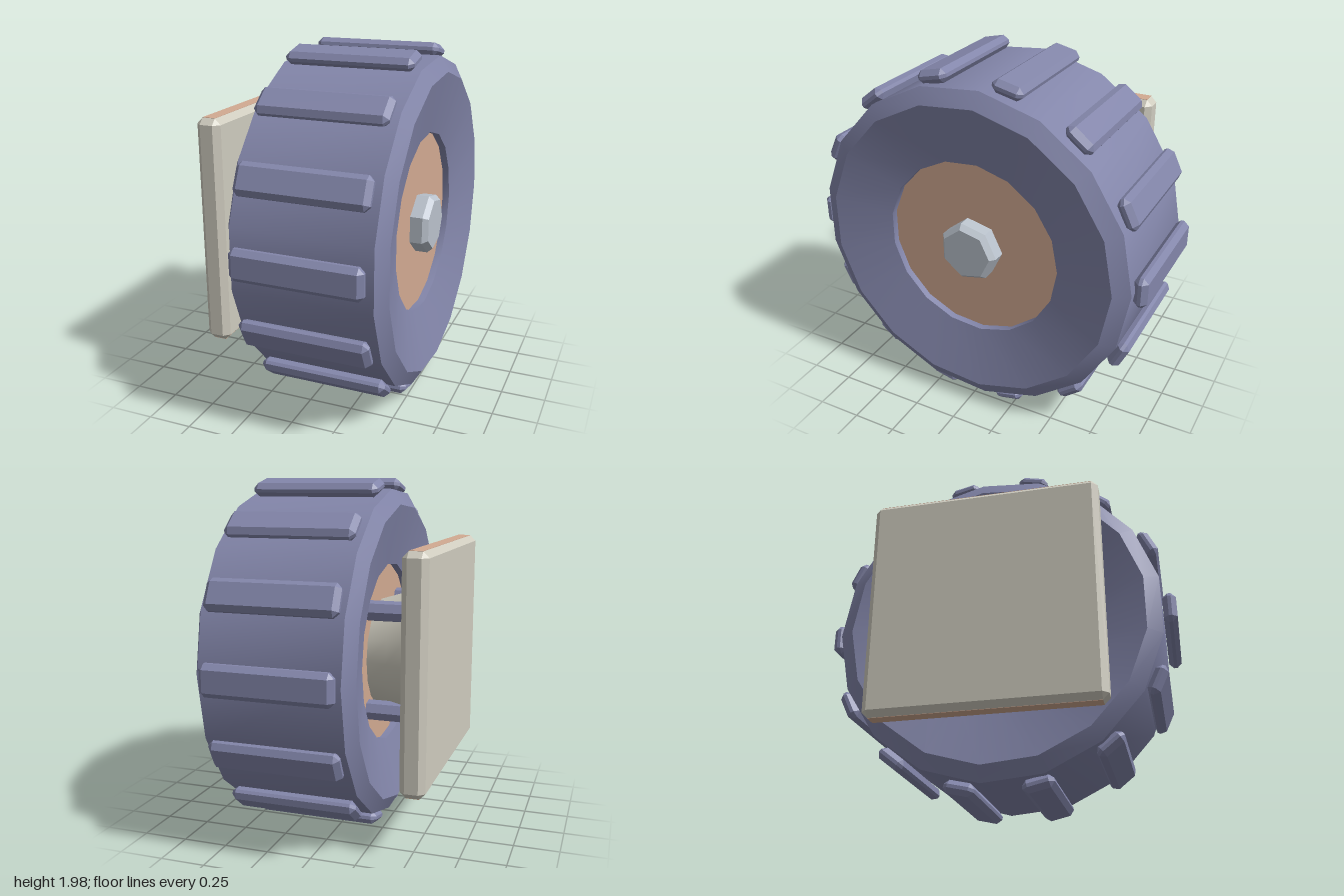
import * as THREE from 'three';
import { toCreasedNormals } from 'three/addons/utils/BufferGeometryUtils.js';
import { ConvexGeometry } from 'three/addons/geometries/ConvexGeometry.js';

const mat = (name, color) => {
  const m = new THREE.MeshStandardMaterial({ color });
  m.name = name;
  return m;
};

// Solid of revolution around the x axis; profile is [x, radius] pairs, a vertex points to -z
function turned(profile, sides, crease) {
  const points = profile.map(([x, r]) => new THREE.Vector2(r, x));
  const g = new THREE.LatheGeometry(points, sides, Math.PI);
  g.rotateZ(-Math.PI / 2);
  return toCreasedNormals(g, crease);
}

// Box with every edge chamfered by c
function chamferBox(w, h, d, c) {
  const pts = [];
  const [a, b, e] = [w / 2, h / 2, d / 2];
  for (const i of [-1, 1]) for (const j of [-1, 1]) for (const k of [-1, 1]) {
    pts.push(
      new THREE.Vector3(i * a, j * (b - c), k * (e - c)),
      new THREE.Vector3(i * (a - c), j * b, k * (e - c)),
      new THREE.Vector3(i * (a - c), j * (b - c), k * e));
  }
  return new ConvexGeometry(pts);
}

export function createModel() {
  const rubber = mat('slate blue', 0x8386aa);
  const tan = mat('tan', 0xd2aa92);
  const bone = mat('bone', 0xcfccbf);
  const steel = mat('pale steel', 0xbac2cc);

  const model = new THREE.Group();
  const wheel = new THREE.Group();
  wheel.name = 'wheel';
  wheel.position.y = 0.99;
  model.add(wheel);
  const add = (name, geometry, material, x = 0, y = 0, z = 0) => {
    const m = new THREE.Mesh(geometry, material);
    m.name = name;
    m.position.set(x, y, z);
    wheel.add(m);
    return m;
  };

  // Tyre: chamfered tread band, shallow dished side walls, open bore
  add('tyre', turned([
    [-0.16, 0.515], [-0.21, 0.515], [-0.29, 0.85], [-0.24, 0.935],
    [0.53, 0.935], [0.58, 0.85], [0.50, 0.515], [0.45, 0.515],
  ], 17, 0.5), rubber);

  // Hub disc filling the bore
  add('hubDisc', turned([
    [-0.17, 0], [-0.17, 0.515], [0.46, 0.515], [0.46, 0],
  ], 17, 0.5), tan);

  // Tread lugs around the rim
  const lugGeometry = chamferBox(0.72, 0.175, 0.075, 0.028);
  for (let i = 0; i < 14; i++) {
    const a = (i / 14) * Math.PI * 2;
    const lug = add('treadLug', lugGeometry, rubber, 0.14, Math.sin(a) * 0.9625, Math.cos(a) * 0.9625);
    lug.rotation.x = -a;
  }

  // Centre bolt on the outer side
  add('centreBolt', turned([
    [0.44, 0.172], [0.53, 0.172], [0.56, 0.145], [0.56, 0],
  ], 7, 0.3), steel);

  // Flared hub joining wheel and mounting plate
  add('hubFlange', turned([
    [-0.46, 0], [-0.46, 0.36], [-0.40, 0.395], [-0.29, 0.35], [-0.16, 0.31],
  ], 17, 0.5), bone);

  // Four small bolts around the flange
  const studGeometry = turned([
    [-0.43, 0], [-0.43, 0.035], [-0.40, 0.058], [-0.16, 0.058],
  ], 7, 0.3);
  for (const sy of [-1, 1]) for (const sz of [-1, 1]) {
    add('flangeBolt', studGeometry, rubber, 0, sy * 0.28, sz * 0.28);
  }

  // Square mounting plate with tan top and bottom edges
  add('mountingPlate', chamferBox(0.14, 1.28, 1.28, 0.033), bone, -0.515);
  for (const s of [-1, 1]) {
    add('plateEdgeStrip', new THREE.BoxGeometry(0.074, 0.004, 1.214), tan, -0.515, s * 0.64, 0);
  }

  return model;
}
